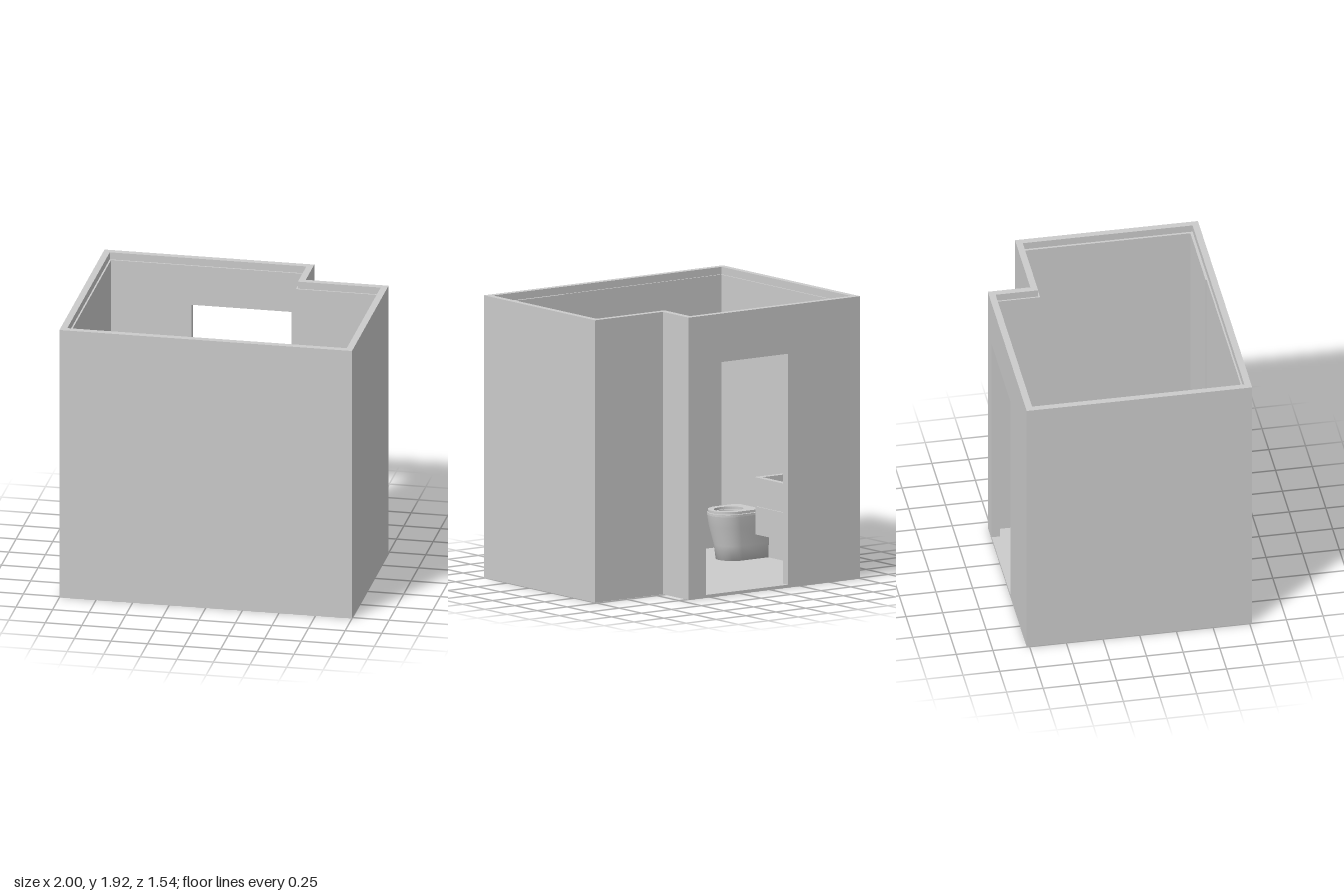
import * as THREE from 'three';

const H = 1.92, FLOOR = 0.02, DOOR_TOP = 1.59, DOOR_L = -0.395, DOOR_R = 0.29;
const material = new THREE.MeshStandardMaterial({ color: 0xcccccc });
const thin = new THREE.MeshStandardMaterial({ color: 0xcccccc, side: THREE.DoubleSide });

function add(parent, name, geometry, mat = material) {
  const mesh = new THREE.Mesh(geometry, mat);
  mesh.name = name;
  parent.add(mesh);
  return mesh;
}

// Box from its minimum and maximum corners
function box(parent, name, x0, x1, y0, y1, z0, z1) {
  add(parent, name, new THREE.BoxGeometry(x1 - x0, y1 - y0, z1 - z0))
    .position.set((x0 + x1) / 2, (y0 + y1) / 2, (z0 + z1) / 2);
}

function cylinder(parent, name, r, h, x, y, z) {
  const mesh = add(parent, name, new THREE.CylinderGeometry(r, r, h, 24));
  mesh.position.set(x, y, z);
  return mesh;
}

// Upright prism over a plan outline of [x, z] points, with an optional hole;
// outlines are turned anticlockwise so the hole walls face inwards
function prism(parent, name, outline, y0, y1, hole) {
  const flat = (pts) => {
    const v = pts.map(([x, z]) => new THREE.Vector2(x, -z));
    return THREE.ShapeUtils.isClockWise(v) ? v.reverse() : v;
  };
  const shape = new THREE.Shape(flat(outline));
  if (hole) shape.holes.push(new THREE.Path(flat(hole).reverse()));
  const geometry = new THREE.ExtrudeGeometry(shape, { depth: y1 - y0, bevelEnabled: false });
  geometry.rotateX(-Math.PI / 2).translate(0, y0, 0);
  return add(parent, name, geometry);
}

// Smooth skin through plan rings [y, points], closed at the last ring
function loft(parent, name, rings) {
  const n = rings[0][1].length, pos = [], index = [];
  for (const [y, pts] of rings) for (const [x, z] of pts) pos.push(x, y, z);
  for (let r = 0; r < rings.length - 1; r++) {
    for (let i = 0; i < n; i++) {
      const a = r * n + i, b = r * n + (i + 1) % n;
      index.push(a, b, a + n, b, b + n, a + n);
    }
  }
  const [lastY, last] = rings[rings.length - 1];
  const mean = (k) => last.reduce((s, p) => s + p[k], 0) / n;
  pos.push(mean(0), lastY, mean(1));
  const base = (rings.length - 1) * n;
  for (let i = 0; i < n; i++) index.push(base + i, base + (i + 1) % n, rings.length * n);
  const geometry = new THREE.BufferGeometry();
  geometry.setAttribute('position', new THREE.Float32BufferAttribute(pos, 3));
  geometry.setIndex(index);
  geometry.computeVertexNormals();
  return add(parent, name, geometry, thin);
}

// Plan outlines
const rect = (x0, x1, z0, z1) => [[x0, z0], [x1, z0], [x1, z1], [x0, z1]];

function roundRect(x0, x1, z0, z1, r) {
  const corners = [[x1 - r, z1 - r], [x0 + r, z1 - r], [x0 + r, z0 + r], [x1 - r, z0 + r]];
  return corners.flatMap(([cx, cz], k) => Array.from({ length: 7 }, (_, i) => {
    const a = (k + i / 6) * Math.PI / 2;
    return [cx + r * Math.cos(a), cz + r * Math.sin(a)];
  }));
}

function ellipse(cx, cz, rx, rz, n = 40) {
  return Array.from({ length: n }, (_, i) => {
    const a = i / n * Math.PI * 2;
    return [cx + rx * Math.cos(a), cz + rz * Math.sin(a)];
  });
}

// Flat back at x0, half-round nose reaching x1
function dShape(x0, x1, cz, hw) {
  const pts = [[x0, cz - hw]];
  for (let i = 0; i <= 24; i++) {
    const a = (i / 24 - 0.5) * Math.PI;
    pts.push([x1 - hw + hw * Math.cos(a), cz + hw * Math.sin(a)]);
  }
  pts.push([x0, cz + hw]);
  return pts;
}

// Room plan, moved inwards by d
const plan = (d) => [
  [-1 + d, -0.77 + d], [0.434 - d, -0.77 + d], [0.434 - d, -0.48 + d],
  [1 - d, -0.48 + d], [1 - d, 0.767 - d], [-1 + d, 0.767 - d],
];

// Wall layer between two insets: open at the doorway, closed above it
function wallLayer(parent, name, d0, d1, top) {
  const run = (d) => {
    const p = plan(d), z = -0.77 + d;
    return [[DOOR_R, z], ...p.slice(1), p[0], [DOOR_L, z]];
  };
  prism(parent, name + 'Lower', [...run(d0), ...run(d1).reverse()], FLOOR, DOOR_TOP);
  prism(parent, name + 'Upper', plan(d0), DOOR_TOP, top, plan(d1));
}

function bathtub() {
  const g = new THREE.Group();
  g.name = 'bathtub';
  const opening = roundRect(0.443, 0.895, -0.387, 0.657, 0.03);
  prism(g, 'tubRim', rect(0.38, 0.938, -0.424, 0.704), 0.362, 0.39, opening);
  box(g, 'tubApron', 0.385, 0.4, FLOOR, 0.362, -0.424, 0.704);
  loft(g, 'tubBasin', [
    [0.39, opening],
    [0.383, roundRect(0.452, 0.885, -0.379, 0.645, 0.035)],
    [0.362, roundRect(0.459, 0.878, -0.372, 0.632, 0.035)],
    [0.16, roundRect(0.49, 0.845, -0.355, 0.507, 0.035)],
    [0.12, roundRect(0.503, 0.832, -0.345, 0.484, 0.04)],
    [0.102, roundRect(0.525, 0.81, -0.322, 0.458, 0.04)],
    [0.1, roundRect(0.56, 0.775, -0.29, 0.42, 0.04)],
  ]);
  cylinder(g, 'tubDrain', 0.03, 0.03, 0.667, 0.102, -0.217);
  cylinder(g, 'tubOverflow', 0.028, 0.02, 0.667, 0.3, -0.362).rotation.x = Math.PI / 2;
  return g;
}

function vanity() {
  const g = new THREE.Group();
  g.name = 'vanity';
  const bowl = rect(-0.88, -0.65, -0.527, -0.147);
  prism(g, 'countertop', rect(-0.944, -0.608, -0.565, -0.108), 0.625, 0.64, bowl);
  prism(g, 'sinkBody', rect(-0.944, -0.615, -0.56, -0.113), 0.55, 0.625, bowl);
  box(g, 'upperDrawer', -0.944, -0.615, 0.45, 0.55, -0.56, -0.113);
  box(g, 'drawerGap', -0.944, -0.625, 0.44, 0.45, -0.55, -0.123);
  box(g, 'lowerDrawer', -0.944, -0.615, 0.25, 0.44, -0.56, -0.113);
  cylinder(g, 'sinkDrain', 0.01, 0.02, -0.83, 0.552, -0.343);
  // Tap with a flat spout and a small lever
  cylinder(g, 'tapPost', 0.014, 0.09, -0.912, 0.685, -0.343);
  box(g, 'tapSpout', -0.926, -0.85, 0.7, 0.718, -0.357, -0.329);
  box(g, 'tapLever', -0.934, -0.905, 0.73, 0.738, -0.36, -0.345);
  return g;
}

function toilet() {
  const g = new THREE.Group();
  g.name = 'toilet';
  const z = 0.296, hole = ellipse(-0.695, z, 0.106, 0.085);
  loft(g, 'toiletBody', [
    [0.325, dShape(-0.944, -0.55, z, 0.139)],
    [0.25, dShape(-0.944, -0.562, z, 0.134)],
    [0.12, dShape(-0.944, -0.6, z, 0.118)],
    [FLOOR, dShape(-0.944, -0.615, z, 0.112)],
  ]);
  prism(g, 'toiletRim', dShape(-0.944, -0.55, z, 0.139), 0.325, 0.34, hole);
  prism(g, 'toiletSeat', dShape(-0.842, -0.555, z, 0.134), 0.343, 0.36, hole);
  box(g, 'seatHinge', -0.872, -0.842, 0.34, 0.36, z - 0.115, z + 0.115);
  loft(g, 'toiletBowl', [
    [0.34, hole],
    [0.27, ellipse(-0.7, z, 0.097, 0.074)],
    [0.2, ellipse(-0.738, z, 0.06, 0.056)],
    [0.17, ellipse(-0.764, z, 0.036, 0.046)],
    [0.1, ellipse(-0.77, z, 0.029, 0.04)],
  ]);
  return g;
}

export function createModel() {
  const model = new THREE.Group();
  model.name = 'bathroomPod';

  // Shell
  prism(model, 'floor', plan(0), 0, FLOOR);
  wallLayer(model, 'wall', 0, 0.045, H);
  wallLayer(model, 'wallLining', 0.045, 0.056, 1.87);

  // Thicker lining around the bath
  box(model, 'bathLiningSide', 0.938, 0.944, FLOOR, 1.87, -0.424, 0.711);
  box(model, 'bathLiningFront', 0.375, 0.944, FLOOR, 1.87, 0.704, 0.711);

  model.add(bathtub(), vanity(), toilet());
  return model;
}
